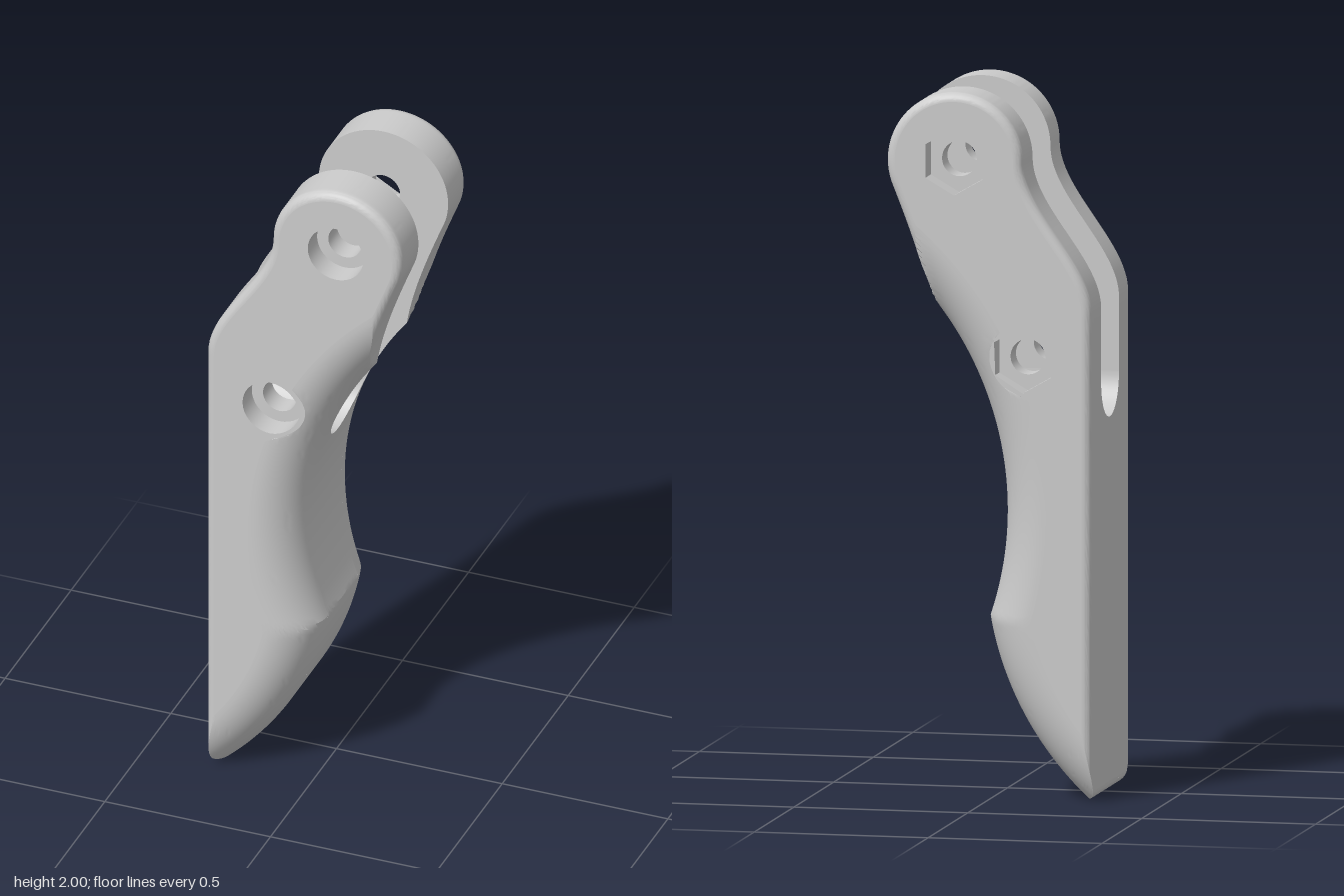
import * as THREE from 'three';
import { toCreasedNormals } from 'three/addons/utils/BufferGeometryUtils.js';

const HALF = 0.25, SLOT = 0.1125, SLOT_Y = 1.175;   // half thickness, slot radius, slot floor centre
const BIG = HALF - SLOT, SMALL = 0.025;             // grip fillet and edge fillet radii
const HEAD = { x: 0.097, y: 1.805, r: 0.195 };
const GRIP = { x: 0.9, y: 0.81, r: 0.93 };
const TOE = { x: -0.867, y: 0.666, r: 0.9 };
const PINS = [[0.097, 1.805], [-0.1, 1.25]];
const PIN_R = 0.05, BORE_R = 0.084, HEX_R = 0.095, BORE_DEPTH = 0.07;
const root = (v) => Math.sqrt(Math.max(0, v));

const material = new THREE.MeshStandardMaterial({ color: 0xcccccc, side: THREE.DoubleSide });
const facetted = new THREE.MeshStandardMaterial({ color: 0xcccccc, side: THREE.DoubleSide, flatShading: true });

// Inset of the outline at depth z, for a fillet of radius r
const inset = (z, r) => {
  const k = Math.max(0, Math.abs(z) - (HALF - r));
  return r - root(r * r - k * k);
};

// Back edge: rounded toe, straight spine, S-bend, round head
function leftEdge(y, e) {
  if (y < 0.03) return -0.265 - root((0.03 - e) ** 2 - (0.03 - y) ** 2);
  if (y > HEAD.y) return HEAD.x - root((HEAD.r - e) ** 2 - (y - HEAD.y) ** 2);
  const t = THREE.MathUtils.clamp((y - 1.385) / 0.42, 0, 1);
  const slope = 6 * t * (1 - t) * 0.197 / 0.42;
  return -0.295 + 0.197 * t * t * (3 - 2 * t) + e * Math.hypot(1, slope) * (y < 0.03 ? 0 : 1);
}

// Front edge: the innermost of arm, hollow grip and toe arc
function rightEdge(y, e, d) {
  let x;
  if (y > 1.733) {
    x = HEAD.x + root((HEAD.r - e) ** 2 - (y - HEAD.y) ** 2);
  } else {
    const h = 0.353, t = Math.max(0, (y - 1.38) / h), t2 = t * t, t3 = t2 * t;
    const arm = y < 1.38 ? 0.167 + 0.15 * (y - 1.38)
      : 0.167 * (2 * t3 - 3 * t2 + 1) + 0.15 * h * (t3 - 2 * t2 + t) + 0.278 * (3 * t2 - 2 * t3) + 0.4 * h * (t3 - t2);
    x = arm - e * 1.06;
  }
  const g = (GRIP.r + d) ** 2 - (y - GRIP.y) ** 2;
  if (g > 0) x = Math.min(x, GRIP.x - Math.sqrt(g));
  if (y < TOE.y) x = Math.min(x, TOE.x + root((TOE.r - d) ** 2 - (y - TOE.y) ** 2));
  // keep a rim around the lower socket
  const [px, py] = PINS[1], rim = (HEX_R + 0.004) ** 2 - (y - py) ** 2;
  if (rim > 0) x = Math.max(x, px + Math.sqrt(rim));
  return x;
}

// Closed outline at depth z, counter-clockwise
function outline(z, top, bottom, rows = 160) {
  const e = inset(z, SMALL), d = inset(z, BIG);
  let lo = e, hi = 0.4;
  for (let i = 0; i < 40; i++) {
    const mid = (lo + hi) / 2;
    if (rightEdge(mid, e, d) > leftEdge(mid, e)) hi = mid; else lo = mid;
  }
  const y0 = bottom ?? hi, y1 = Math.min(top, 2 - e), right = [], left = [];
  for (let i = 0; i <= rows; i++) {
    const y = y0 + (y1 - y0) * (1 - Math.cos(Math.PI * i / rows)) / 2;
    const a = leftEdge(y, e);
    right.push(new THREE.Vector2(Math.max(a, rightEdge(y, e, d)), y));
    left.unshift(new THREE.Vector2(a, y));
  }
  return [...right, ...left];
}

// Lower any point that stands proud of the grip fillet
function settle(geometry) {
  const p = geometry.attributes.position;
  for (let i = 0; i < p.count; i++) {
    const z = p.getZ(i);
    if (Math.abs(z) < 0.2) continue;
    const d = Math.hypot(p.getX(i) - GRIP.x, p.getY(i) - GRIP.y) - GRIP.r;
    if (d <= 0 || d >= BIG) continue;
    const h = SLOT + root(BIG * BIG - (BIG - d) ** 2);
    p.setZ(i, Math.sign(z) * Math.min(Math.abs(z), h));
  }
  return geometry;
}

// Skin through outlines stacked along z
function loft(depths, topAt) {
  const pos = [], index = [];
  let n = 0;
  depths.forEach((z, k) => {
    const ring = outline(z, topAt(z));
    n = ring.length;
    ring.forEach((p) => pos.push(p.x, p.y, z));
    if (k === 0) return;
    for (let i = 0; i < n; i++) {
      const j = (i + 1) % n, a = (k - 1) * n, b = k * n;
      index.push(a + i, a + j, b + j, a + i, b + j, b + i);
    }
  });
  const g = new THREE.BufferGeometry();
  g.setAttribute('position', new THREE.Float32BufferAttribute(pos, 3));
  g.setIndex(index);
  return toCreasedNormals(settle(g), 0.38);
}

const polygon = (x, y, r, n) => Array.from({ length: n }, (_, i) => {
  const a = Math.PI / 2 + i * 2 * Math.PI / n;
  return new THREE.Vector2(x + r * Math.cos(a), y + r * Math.sin(a));
});

// Flat face at depth z with holes, facing +z or -z
function face(points, holes, z, facing) {
  const clean = points.filter((p, i) => p.distanceTo(points[(i + 1) % points.length]) > 1e-5);
  const shape = new THREE.Shape(clean);
  shape.holes = holes.map((h) => new THREE.Path(h));
  const g = new THREE.ShapeGeometry(shape);
  if (facing < 0) {
    const a = g.index.array;
    for (let i = 0; i < a.length; i += 3) [a[i], a[i + 1]] = [a[i + 1], a[i]];
    for (let i = 0; i < g.attributes.normal.count; i++) g.attributes.normal.setZ(i, -1);
  }
  return settle(g.translate(0, 0, z));
}

function add(group, name, geometry, mat = material) {
  const mesh = new THREE.Mesh(geometry, mat);
  mesh.name = name;
  group.add(mesh);
}

// Open wall of a hole between two depths
function wall(x, y, r, n, z0, z1) {
  const g = new THREE.CylinderGeometry(r, r, Math.abs(z1 - z0), n, 1, true);
  return settle(g.rotateX(Math.PI / 2).translate(x, y, (z0 + z1) / 2));
}

// One side arm with its sockets; side +1 has round bores, -1 hexagonal ones
function makeArm(side) {
  const arm = new THREE.Group();
  arm.name = side > 0 ? 'frontArm' : 'backArm';
  const sides = side > 0 ? 36 : 6, r = side > 0 ? BORE_R : HEX_R;
  const depths = Array.from({ length: 19 }, (_, i) => side * (SLOT + BIG * Math.sin(i / 18 * Math.PI / 2)));
  depths.sort((a, b) => a - b);
  add(arm, 'armSkin', loft(depths, () => 2));
  const sockets = PINS.map(([x, y]) => polygon(x, y, r, sides));
  const pins = PINS.map(([x, y]) => polygon(x, y, PIN_R, 36));
  add(arm, 'outerFace', face(outline(side * HALF, 2), sockets, side * HALF, side));
  add(arm, 'innerFace', face(outline(side * SLOT, 2, SLOT_Y), pins, side * SLOT, -side));
  const floor = HALF - BORE_DEPTH;
  PINS.forEach(([x, y], i) => {
    add(arm, 'socketWall', wall(x, y, r, sides, side * floor, side * HALF), sides === 6 ? facetted : material);
    add(arm, 'socketFloor', face(sockets[i], [pins[i]], side * floor, side));
    add(arm, 'pinHole', wall(x, y, PIN_R, 36, side * SLOT, side * floor));
  });
  return arm;
}

export function createModel() {
  const model = new THREE.Group();
  model.name = 'slottedGripLever';
  // Middle of the grip, with the round slot floor
  const depths = Array.from({ length: 33 }, (_, i) => -SLOT * Math.cos(i / 32 * Math.PI));
  add(model, 'gripCore', loft(depths, (z) => SLOT_Y - root(SLOT * SLOT - z * z)));
  model.add(makeArm(1), makeArm(-1));
  return model;
}
